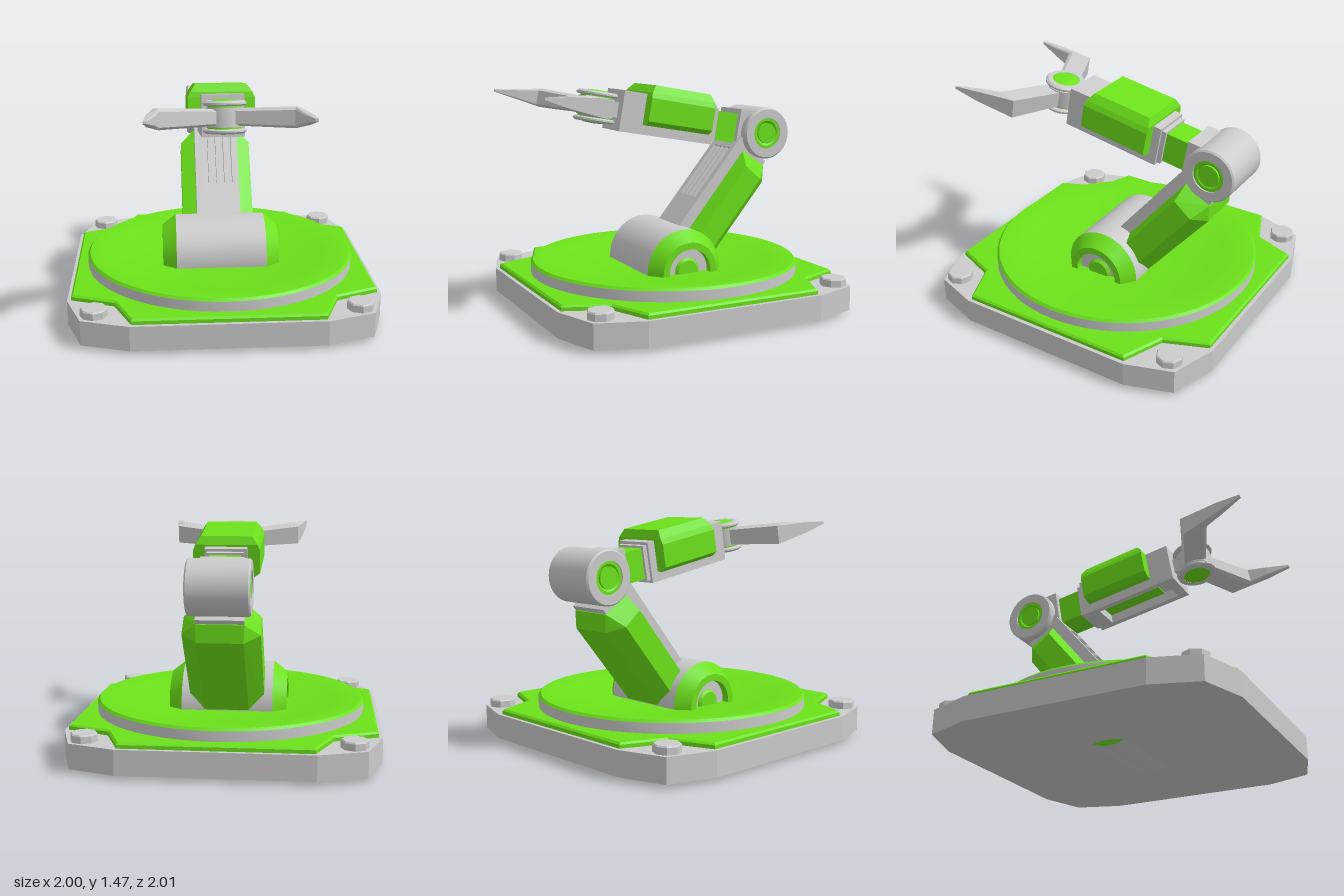
import * as THREE from 'three';
import { toCreasedNormals } from 'three/addons/utils/BufferGeometryUtils.js';
import { ConvexGeometry } from 'three/addons/geometries/ConvexGeometry.js';

const grey = new THREE.MeshStandardMaterial({ color: 0xcccccc });
const green = new THREE.MeshStandardMaterial({ color: 0x6ce21a });

function add(parent, name, geometry, material) {
  const mesh = new THREE.Mesh(geometry, material);
  mesh.name = name;
  parent.add(mesh);
  return mesh;
}

function group(parent, name, y, z, tilt) {
  const g = new THREE.Group();
  g.name = name;
  g.position.set(0, y, z);
  g.rotation.x = tilt;
  parent.add(g);
  return g;
}

// Box from its y and z limits, centred on x
function box(halfX, y0, y1, z0, z1) {
  return new THREE.BoxGeometry(halfX * 2, y1 - y0, z1 - z0).translate(0, (y0 + y1) / 2, (z0 + z1) / 2);
}

// Turned part; profile runs [radius, height] from bottom to top
function turned(profile, segments = 48) {
  const pts = profile.map(([r, y]) => new THREE.Vector2(r, y));
  return toCreasedNormals(new THREE.LatheGeometry(pts, segments), 0.5);
}

function rectangle(x0, x1, y0, y1, Type = THREE.Shape) {
  return new Type([[x0, y0], [x1, y0], [x1, y1], [x0, y1]].map(([x, y]) => new THREE.Vector2(x, y)));
}

// Outline from one quarter, mirrored to all four and extruded upward
function plate(quarter, y, height, bevel) {
  const back = [...quarter].reverse();
  const pts = [
    ...quarter,
    ...back.map(([x, z]) => [-x, z]),
    ...quarter.map(([x, z]) => [-x, -z]),
    ...back.map(([x, z]) => [x, -z]),
  ].map(([x, z]) => new THREE.Vector2(x, z));
  const geo = new THREE.ExtrudeGeometry(new THREE.Shape(pts), {
    depth: height - bevel, bevelEnabled: bevel > 0, bevelSize: bevel, bevelOffset: -bevel,
    bevelThickness: bevel, bevelSegments: 1,
  });
  return geo.rotateX(-Math.PI / 2).translate(0, y, 0);
}

// Convex solid, each point mirrored across x
function symmetricHull(points) {
  return new ConvexGeometry(points.flatMap(([x, y, z]) => [new THREE.Vector3(x, y, z), new THREE.Vector3(-x, y, z)]));
}

function buildBase(root) {
  const base = group(root, 'base', 0, 0, 0);
  add(base, 'groundPlate', plate([[1, 0.6], [0.9, 0.9], [0.6, 1]], 0.025, 0.16, 0), grey);
  add(base, 'coverPlate', plate([[0.975, 0.59], [0.7, 0.7], [0.59, 0.975]], 0.185, 0.035, 0.012), green);
  for (const x of [-0.82, 0.82]) {
    for (const z of [-0.82, 0.82]) {
      const bolt = turned([[0, 0.17], [0.085, 0.17], [0.085, 0.228], [0.078, 0.237], [0, 0.237]], 8);
      add(base, 'cornerBolt', bolt, grey).position.set(x, 0, z);
    }
  }
  add(base, 'turntableRim', turned([[0, 0.2], [0.9, 0.2], [0.9, 0.285], [0.85, 0.285]], 64), grey);
  add(base, 'turntableDish',
    turned([[0.9, 0.285], [0.885, 0.302], [0.86, 0.302], [0.71, 0.287], [0.55, 0.25], [0, 0.25]], 64), green);
}

// Barrel across x, with an end cap stack on both sides
function buildBarrel(parent, name, body, caps) {
  add(parent, name, turned(body), grey).rotation.z = -Math.PI / 2;
  for (const side of [-1, 1]) {
    for (const [capName, profile, material] of caps) {
      add(parent, capName, turned(profile), material).rotation.z = -side * Math.PI / 2;
    }
  }
}

function buildLowerArm(root) {
  const shoulder = group(root, 'shoulder', 0.265, 0, 0);
  buildBarrel(shoulder, 'shoulderBarrel', [[0, -0.3], [0.265, -0.3], [0.265, 0.3], [0, 0.3]], [
    ['shoulderCap', [[0.265, 0.3], [0.195, 0.39], [0.15, 0.39], [0.15, 0.32]], green],
    ['shoulderRing', [[0.15, 0.34], [0.085, 0.34], [0.085, 0.31]], grey],
    ['shoulderHub', [[0.085, 0.32], [0.085, 0.345], [0.07, 0.36], [0, 0.36]], green],
  ]);

  // Local y runs along the arm, local z is its front
  const arm = group(root, 'lowerArm', 0.265, 0, -0.688);
  add(arm, 'lowerArmCore', box(0.15, 0.05, 0.965, -0.14, 0.085), grey);
  const front = rectangle(-0.15, 0.15, 0.1, 0.98);
  for (let i = 0; i < 4; i++) {
    const x = -0.105 + i * 0.055;
    front.holes.push(rectangle(x, x + 0.045, 0.46, 0.88, THREE.Path));
  }
  add(arm, 'slottedFront',
    new THREE.ExtrudeGeometry(front, { depth: 0.045, bevelEnabled: false }).translate(0, 0, 0.085), grey);
  // Faceted shell with a tapered top end
  add(arm, 'lowerArmShell', symmetricHull([
    [0.15, 0.1, 0.055], [0.245, 0.1, 0.02], [0.245, 0.1, -0.13], [0.145, 0.1, -0.21],
    [0.245, 0.82, 0.02], [0.245, 0.82, -0.13], [0.145, 0.84, -0.215],
    [0.15, 0.91, 0.055], [0.15, 0.93, -0.145],
  ]), green);
}

function buildElbow(root) {
  const elbow = group(root, 'elbow', 1.12, -0.705, 0);
  buildBarrel(elbow, 'elbowBarrel', [
    [0, -0.17], [0.105, -0.17], [0.105, -0.195], [0.165, -0.195], [0.175, -0.185],
    [0.175, 0.185], [0.165, 0.195], [0.105, 0.195], [0.105, 0.17], [0, 0.17],
  ], [
    ['elbowCap', [[0.105, 0.185], [0.085, 0.185], [0.07, 0.175], [0.07, 0.19], [0, 0.19]], green],
  ]);
}

function buildUpperArm(root) {
  // Local z runs along the arm
  const arm = group(root, 'upperArm', 1.12, -0.705, -0.175);
  add(arm, 'elbowMount', box(0.135, -0.135, 0.135, 0.04, 0.2), grey);
  add(arm, 'neck', box(0.1, -0.1, 0.1, 0.15, 0.4), green);
  add(arm, 'neckFlange', box(0.118, -0.115, 0.115, 0.365, 0.42), grey);
  add(arm, 'upperArmBlock', box(0.135, -0.06, 0.133, 0.395, 1.085), grey);

  // Open channel in the underside
  const rim = rectangle(-0.135, 0.135, 0.395, 1.085);
  rim.holes.push(rectangle(-0.095, 0.095, 0.5, 1.02, THREE.Path));
  add(arm, 'undersideRim',
    new THREE.ExtrudeGeometry(rim, { depth: 0.073, bevelEnabled: false }).rotateX(Math.PI / 2).translate(0, -0.06, 0), grey);

  // Faceted cover with chamfers around the top and along the lower sides
  add(arm, 'upperArmCover', symmetricHull([
    [0.165, 0.196, 0.475], [0.165, 0.196, 0.885],
    [0.2, 0.145, 0.45], [0.2, 0.145, 0.92],
    [0.215, 0.11, 0.45], [0.215, 0.11, 0.925],
    [0.215, -0.04, 0.45], [0.215, -0.04, 0.925],
    [0.175, -0.07, 0.45], [0.175, -0.07, 0.925],
  ]).translate(0, 0, 0), green);
  return arm;
}

function buildGripper(arm) {
  const wrist = group(arm, 'gripper', 0, 1.213, 0);
  add(wrist, 'wristConnector', box(0.07, -0.05, 0.05, -0.16, 0), grey);
  add(wrist, 'wristHub', turned([[0, -0.06], [0.118, -0.06], [0.118, 0.06], [0, 0.06]], 32), grey);
  add(wrist, 'wristCore', turned([[0, -0.075], [0.108, -0.075], [0.108, 0.075], [0, 0.075]], 32), green);
  for (const flip of [0, Math.PI]) {
    const disc = turned([[0, 0.07], [0.125, 0.07], [0.135, 0.078], [0.135, 0.088], [0.12, 0.1], [0.09, 0.1], [0.09, 0.09]], 32);
    add(wrist, 'wristDisc', disc, grey).rotation.x = flip;
    add(wrist, 'wristButton', turned([[0.09, 0.098], [0.06, 0.106], [0, 0.109]], 32), green).rotation.x = flip;
  }

  // Claw stations: outer x, outer z, inner x, inner z, half thickness
  const stations = [
    [0.07, -0.05, 0.05, 0.1, 0.05],
    [0.435, 0.1, 0.4, 0.255, 0.062],
    [0.475, 0.36, 0.425, 0.38, 0.035],
    [0.492, 0.53, 0.472, 0.53, 0.008],
  ];
  for (const side of [-1, 1]) {
    const section = ([ox, oz, ix, iz, h]) => [
      [ox, h, oz], [ox, -h, oz], [ix, h * 0.75, iz], [ix, -h * 0.75, iz],
      [ix + (ox - ix) * 0.15, h, iz + (oz - iz) * 0.15], [ix + (ox - ix) * 0.15, -h, iz + (oz - iz) * 0.15],
    ].map(([x, y, z]) => new THREE.Vector3(side * x, y, z));
    const claw = new THREE.Group();
    claw.name = side > 0 ? 'leftClaw' : 'rightClaw';
    wrist.add(claw);
    ['clawRoot', 'clawBlade', 'clawTip'].forEach((name, i) =>
      add(claw, name, new ConvexGeometry([...section(stations[i]), ...section(stations[i + 1])]), grey));
  }
}

export function createModel() {
  const root = new THREE.Group();
  root.name = 'robotArm';
  buildBase(root);
  buildLowerArm(root);
  buildElbow(root);
  buildGripper(buildUpperArm(root));
  return root;
}
